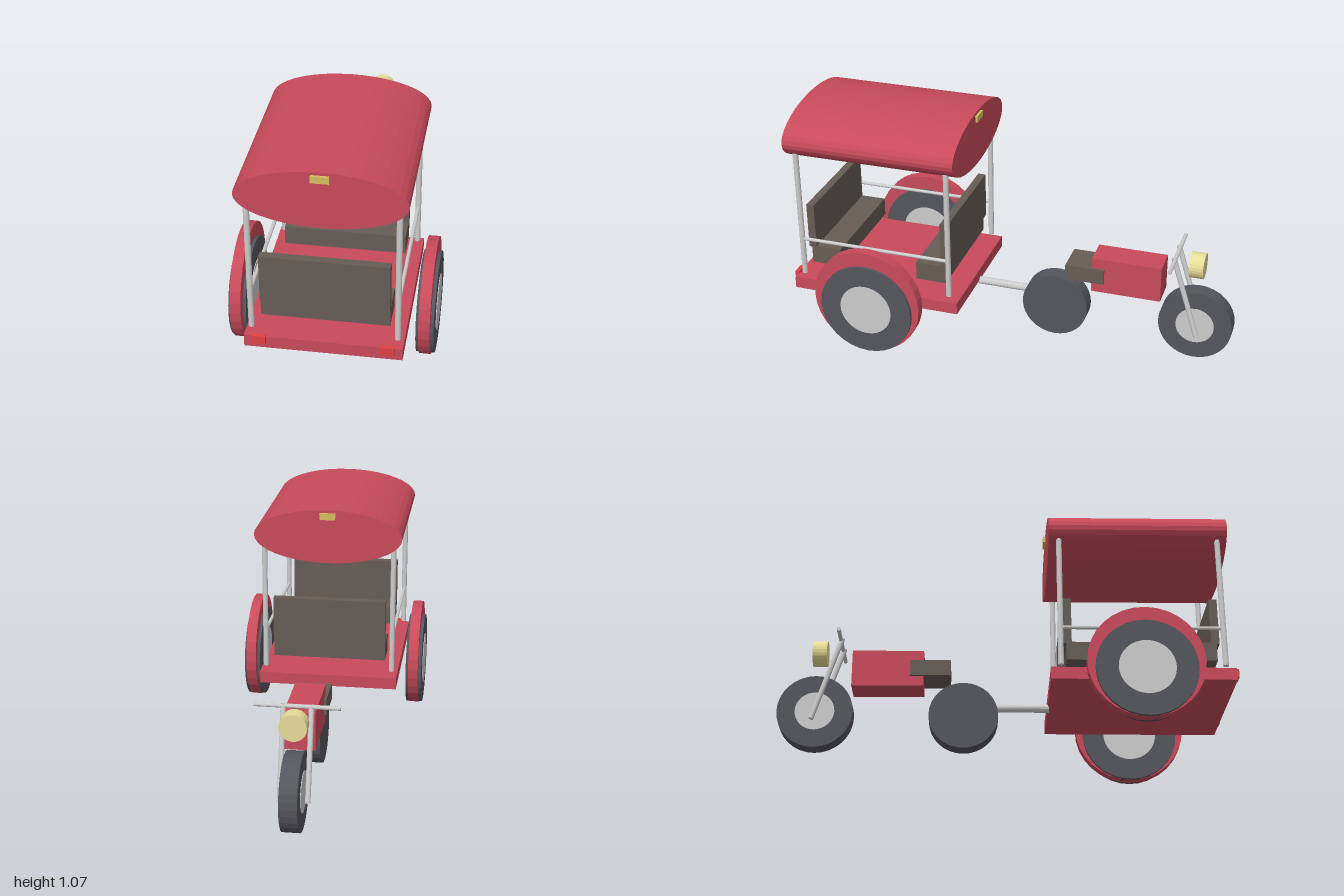
import * as THREE from 'three';

const mat = (color) => new THREE.MeshStandardMaterial({ color, flatShading: true });
const RED = mat(0xc84a5a), TYRE = mat(0x55555d), BROWN = mat(0x665c55), METAL = mat(0xcccccc);
const LAMP = mat(0xe8dc98), GOLD = mat(0xd8bc60), TAIL = mat(0xe04040);

export function createModel() {
  const model = new THREE.Group();
  model.name = 'rickshaw';

  const add = (name, geometry, material, x, y, z) => {
    const mesh = new THREE.Mesh(geometry, material);
    mesh.name = name;
    mesh.position.set(x, y, z);
    model.add(mesh);
    return mesh;
  };
  const box = (name, material, w, h, d, x, y, z) =>
    add(name, new THREE.BoxGeometry(w, h, d), material, x, y, z);
  // Disc with its axle along x
  const disc = (name, material, r, w, x, y, z) =>
    add(name, new THREE.CylinderGeometry(r, r, w, 32).rotateZ(Math.PI / 2), material, x, y, z);
  // Round bar between two points
  const bar = (name, r, a, b) => {
    const from = new THREE.Vector3(...a), to = new THREE.Vector3(...b);
    const dir = to.clone().sub(from), mid = from.clone().add(to).multiplyScalar(0.5);
    const mesh = add(name, new THREE.CylinderGeometry(r, r, dir.length(), 16), METAL, mid.x, mid.y, mid.z);
    mesh.quaternion.setFromUnitVectors(new THREE.Vector3(0, 1, 0), dir.normalize());
    return mesh;
  };

  // Carriage deck and elliptical canopy
  box('deck', RED, 0.65, 0.055, 0.79, 0, 0.2325, 0.59);
  const canopy = new THREE.CylinderGeometry(1, 1, 0.792, 40).rotateX(Math.PI / 2).scale(0.341, 0.125, 1);
  add('canopy', canopy, RED, 0, 0.94, 0.59);

  // Benches facing each other, with canopy plates at both ends
  for (const s of [-1, 1]) {
    box('benchSeat', BROWN, 0.53, 0.085, 0.14, 0, 0.3625, 0.592 + s * 0.255);
    box('benchBack', BROWN, 0.53, 0.215, 0.036, 0, 0.507, 0.592 + s * 0.32);
    box('canopyPlate', GOLD, 0.073, 0.03, 0.02, 0, 1.037, 0.59 + s * 0.397);
  }

  // Posts, rails, wheels and tail lights on each side
  for (const s of [-1, 1]) {
    for (const z of [0.24, 0.944]) bar('post', 0.0125, [s * 0.3, 0.28, z], [s * 0.3, 0.89, z]);
    bar('sideRail', 0.008, [s * 0.3, 0.457, 0.24], [s * 0.3, 0.457, 0.944]);
    disc('carriageTyre', TYRE, 0.2165, 0.075, s * 0.394, 0.2165, 0.592);
    disc('carriageHub', METAL, 0.121, 0.08, s * 0.394, 0.2165, 0.592);
    disc('fender', RED, 0.25, 0.047, s * 0.394, 0.25, 0.592);
    box('tailLight', TAIL, 0.058, 0.037, 0.02, s * 0.263, 0.251, 0.99);
  }

  // Tow bar joining the carriage to the motorbike
  bar('towBar', 0.018, [0, 0.2, 0.2], [0, 0.2, -0.16]);

  // Motorbike wheels, seat and body
  disc('bikeRearTyre', TYRE, 0.153, 0.076, 0, 0.153, -0.178);
  disc('bikeFrontTyre', TYRE, 0.167, 0.076, 0, 0.167, -0.83);
  disc('bikeFrontHub', METAL, 0.087, 0.081, 0, 0.167, -0.83);
  box('bikeSeat', BROWN, 0.154, 0.072, 0.178, 0, 0.362, -0.325);
  box('bikeBody', RED, 0.132, 0.168, 0.317, 0, 0.363, -0.514);

  // Fork legs, handlebar and headlight
  for (const s of [-1, 1]) bar('forkLeg', 0.0115, [s * 0.058, 0.508, -0.722], [s * 0.058, 0.123, -0.842]);
  bar('handlebar', 0.009, [-0.178, 0.5, -0.728], [0.178, 0.5, -0.728]);
  add('headlight', new THREE.CylinderGeometry(0.058, 0.058, 0.064, 24).rotateX(Math.PI / 2), LAMP, 0, 0.457, -0.821);

  return model;
}
